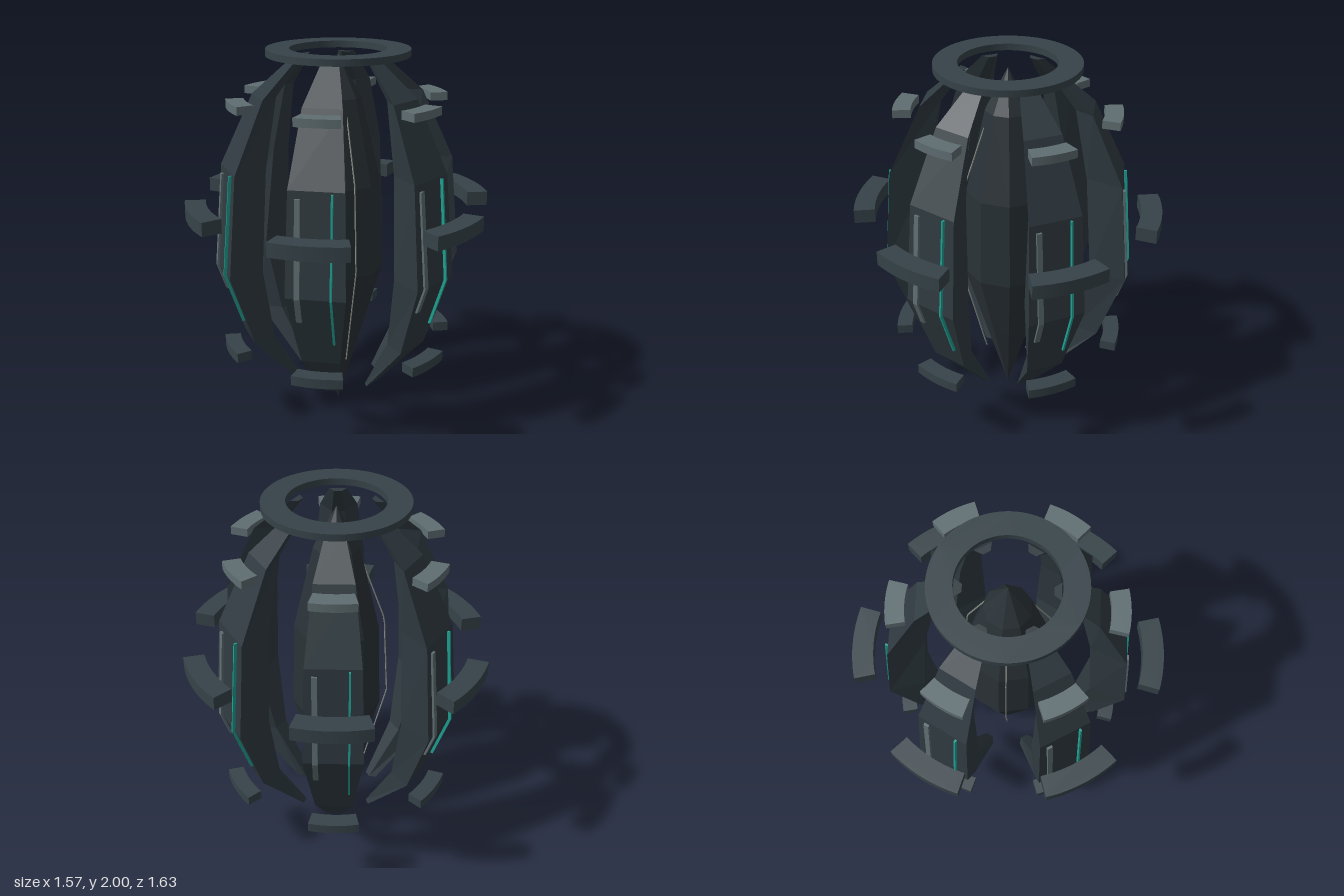
import * as THREE from 'three';

const mat = (color, flatShading = true) =>
  new THREE.MeshStandardMaterial({ color, flatShading });

const coreMat = mat(0x2a3237);
const petalMat = mat(0x2f3a40);
const plateMat = mat(0x364349);
const paleMat = mat(0x5f6e72);
const glowMat = mat(0x1fa193);
const wireMat = mat(0x8b9088);

// petal rows from bottom to top: y, outer radius, outer half width, inner radius, inner half width
const ROWS = [
  [0.165, 0.24, 0.045, 0.21, 0.02],
  [0.47, 0.51, 0.1, 0.385, 0.05],
  [0.87, 0.645, 0.153, 0.455, 0.095],
  [1.41, 0.6, 0.14, 0.415, 0.06],
  [1.775, 0.435, 0.1, 0.345, 0.035],
  [1.95, 0.245, 0.045, 0.21, 0.02],
];

// closed loft through four-cornered sections, ordered upward
function loft(sections) {
  const pos = [];
  const quad = (a, b, c, d) => pos.push(...a, ...b, ...c, ...a, ...c, ...d);
  for (let s = 0; s < sections.length - 1; s++) {
    const lo = sections[s], hi = sections[s + 1];
    for (let i = 0; i < 4; i++) {
      const j = (i + 1) % 4;
      quad(lo[i], lo[j], hi[j], hi[i]);
    }
  }
  quad(...sections[sections.length - 1]);
  quad(...[...sections[0]].reverse());
  const g = new THREE.BufferGeometry();
  g.setAttribute('position', new THREE.Float32BufferAttribute(pos, 3));
  g.computeVertexNormals();
  return g;
}

const section = (y, x, ro, wo, ri, wi) =>
  [[x - wo, y, ro], [x + wo, y, ro], [x + wi, y, ri], [x - wi, y, ri]];

// outer radius of a petal at a given height
function outerRadius(y) {
  const i = ROWS.findIndex((r, k) => k > 0 && y <= r[0]);
  const [a, b] = [ROWS[i - 1], ROWS[i]];
  return THREE.MathUtils.mapLinear(y, a[0], b[0], a[1], b[1]);
}

// raised strip that follows the bend of a petal
function stripGeometry(x, y0, y1, w, out) {
  return loft([y0, 0.87, y1].map((y) => {
    const r = outerRadius(y);
    return section(y, x, r + out, w, r - 0.02, w);
  }));
}

// flat curved plate facing +z
function arcGeometry(ri, ro, half, y0, y1) {
  const s = new THREE.Shape();
  const m = -Math.PI / 2;
  s.absarc(0, 0, ro, m - half, m + half, false);
  s.absarc(0, 0, ri, m + half, m - half, true);
  const g = new THREE.ExtrudeGeometry(s, { depth: y1 - y0, bevelEnabled: false, curveSegments: 8 });
  return g.rotateX(-Math.PI / 2).translate(0, y0, 0);
}

function add(parent, name, geometry, material) {
  const mesh = new THREE.Mesh(geometry, material);
  mesh.name = name;
  parent.add(mesh);
  return mesh;
}

export function createModel() {
  const model = new THREE.Group();
  model.name = 'petalPod';

  // nine-sided central spindle
  const profile = [[0, 0], [0.125, 0.42], [0.24, 0.82], [0.225, 1.3], [0.12, 1.75], [0, 1.97]]
    .map(([r, y]) => new THREE.Vector2(r, y));
  add(model, 'core', new THREE.LatheGeometry(profile, 9), coreMat);

  // crown ring
  const ring = new THREE.Shape().absarc(0, 0, 0.373, 0, Math.PI * 2, false);
  ring.holes.push(new THREE.Path().absarc(0, 0, 0.25, 0, Math.PI * 2, true));
  const ringGeo = new THREE.ExtrudeGeometry(ring, { depth: 0.035, bevelEnabled: false, curveSegments: 48 });
  ringGeo.rotateX(-Math.PI / 2).translate(0, 1.965, 0);
  add(model, 'crownRing', ringGeo, plateMat);

  // six petals, each with strips and floating plates
  const petalGeo = loft(ROWS.map(([y, ro, wo, ri, wi]) => section(y, 0, ro, wo, ri, wi)));
  const glowGeo = stripGeometry(0.08, 0.6, 1.4, 0.005, 0.016);
  const paleGeo = stripGeometry(-0.09, 0.73, 1.37, 0.014, 0.012);
  const upperGeo = arcGeometry(0.49, 0.583, 0.2, 1.712, 1.755);
  const middleGeo = arcGeometry(0.705, 0.815, 0.25, 1.135, 1.21);
  const lowerGeo = arcGeometry(0.545, 0.63, 0.215, 0.383, 0.435);
  for (let i = 0; i < 6; i++) {
    const segment = new THREE.Group();
    segment.name = 'petalSegment';
    add(segment, 'petal', petalGeo, petalMat);
    add(segment, 'glowStrip', glowGeo, glowMat);
    add(segment, 'paleStrip', paleGeo, paleMat);
    add(segment, 'upperPlate', upperGeo, paleMat);
    add(segment, 'middlePlate', middleGeo, plateMat);
    add(segment, 'lowerPlate', lowerGeo, plateMat);
    segment.rotation.y = (i * Math.PI) / 3;
    model.add(segment);
  }

  // three thin wires bowed around the core
  const path = new THREE.CurvePath();
  const pts = [[0.13, 0.3], [0.275, 0.87], [0.25, 1.33], [0.125, 1.68]]
    .map(([x, y]) => new THREE.Vector3(x, y, 0));
  for (let i = 0; i < 3; i++) path.add(new THREE.LineCurve3(pts[i], pts[i + 1]));
  const wireGeo = new THREE.TubeGeometry(path, 36, 0.004, 5);
  for (let i = 0; i < 3; i++) {
    add(model, 'wire', wireGeo, wireMat).rotation.y = (i * Math.PI * 2) / 3;
  }
  return model;
}
